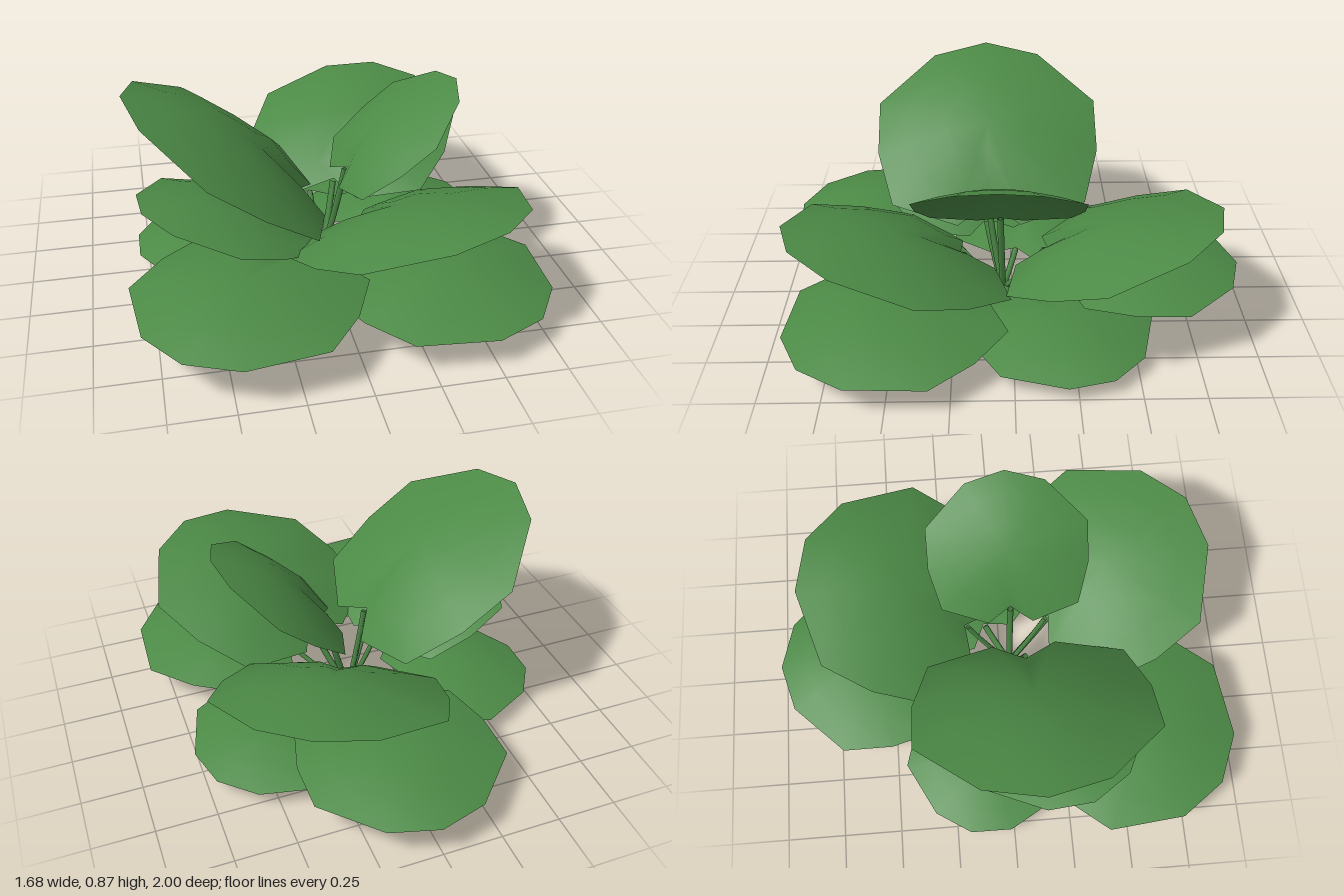
import * as THREE from 'three';

// Half outline of a blade: [sideways, along], as fractions of its length
const HALF = [[0.28, 0.92], [0.57, 0.62], [0.57, 0.32], [0.49, 0.02], [0.16, -0.1]];
const OUTLINE = [[0, 1], ...HALF, [0, 0.02], ...HALF.slice().reverse().map(([s, u]) => [-s, u])];
const MID = 0.45;    // domed centre along the blade
const DOME = 0.11;   // dome height as a fraction of the length
const RINGS = [0.35, 0.7, 1];

// Each leaf: name, where the stem meets the blade, tip of the blade
const LEAVES = [
  ['backLowLeaf', [0.01, 0.15, -0.28], [0.01, 0.14, -1.0]],
  ['backRaisedLeaf', [0.09, 0.27, -0.14], [0.44, 0.56, -0.81]],
  ['frontRaisedLeaf', [0.11, 0.26, 0.21], [0.52, 0.54, 0.86]],
  ['frontLeftLowLeaf', [0.19, 0.13, 0.26], [0.7, 0.12, 0.84]],
  ['frontRightLowLeaf', [-0.2, 0.19, 0.3], [-0.68, 0.18, 0.91]],
  ['rightTallLeaf', [-0.1, 0.37, 0.1], [-0.81, 0.87, 0.11]],
  ['rightMiddleLeaf', [-0.18, 0.25, 0.11], [-0.77, 0.46, 0.32]],
  ['rightLowLeaf', [-0.21, 0.08, -0.02], [-0.79, 0.065, -0.19]],
  ['leftLowLeaf', [0.16, 0.08, -0.06], [0.72, 0.065, -0.39]],
  ['leftTallLeaf', [0.1, 0.43, 0.05], [0.57, 0.81, 0.06]],
];

// Domed blade made of rings that grow from the centre to the outline
function bladeGeometry(base, tip) {
  const along = tip.clone().sub(base);
  const length = along.length();
  along.normalize();
  const side = new THREE.Vector3(0, 1, 0).cross(along).normalize();
  const normal = along.clone().cross(side);
  const positions = [];
  const index = [];
  const add = (s, u, h) => {
    const p = base.clone()
      .addScaledVector(side, s * length)
      .addScaledVector(along, u * length)
      .addScaledVector(normal, h * length);
    positions.push(p.x, p.y, p.z);
  };
  const n = OUTLINE.length;
  add(0, MID, DOME);
  RINGS.forEach((f, r) => {
    OUTLINE.forEach(([s, u]) => add(s * f, MID + (u - MID) * f, DOME * (1 - f * f)));
    for (let i = 0; i < n; i++) {
      const a = 1 + r * n + i;
      const b = 1 + r * n + (i + 1) % n;
      if (r === 0) index.push(0, a, b);
      else index.push(a - n, a, b, a - n, b, b - n);
    }
  });
  const geometry = new THREE.BufferGeometry();
  geometry.setAttribute('position', new THREE.Float32BufferAttribute(positions, 3));
  geometry.setIndex(index);
  geometry.computeVertexNormals();
  return geometry;
}

// Thin stem that bows outward from the root to the blade
function stemGeometry(base) {
  const root = new THREE.Vector3(0, 0.012, 0.04);
  const bend = new THREE.Vector3(base.x * 0.55, base.y * 0.42, 0.04 + (base.z - 0.04) * 0.55);
  const curve = new THREE.QuadraticBezierCurve3(root, bend, base);
  return new THREE.TubeGeometry(curve, 5, 0.014, 4, false);
}

export function createModel() {
  const green = new THREE.MeshStandardMaterial({ color: 0x4c8a46 });
  green.name = 'leafGreen';
  green.side = THREE.DoubleSide;

  const plant = new THREE.Group();
  plant.name = 'plant';
  for (const [name, b, t] of LEAVES) {
    const base = new THREE.Vector3(...b);
    const leaf = new THREE.Group();
    leaf.name = name;
    const blade = new THREE.Mesh(bladeGeometry(base, new THREE.Vector3(...t)), green);
    blade.name = 'blade';
    const stem = new THREE.Mesh(stemGeometry(base), green);
    stem.name = 'stem';
    leaf.add(blade, stem);
    plant.add(leaf);
  }
  return plant;
}
